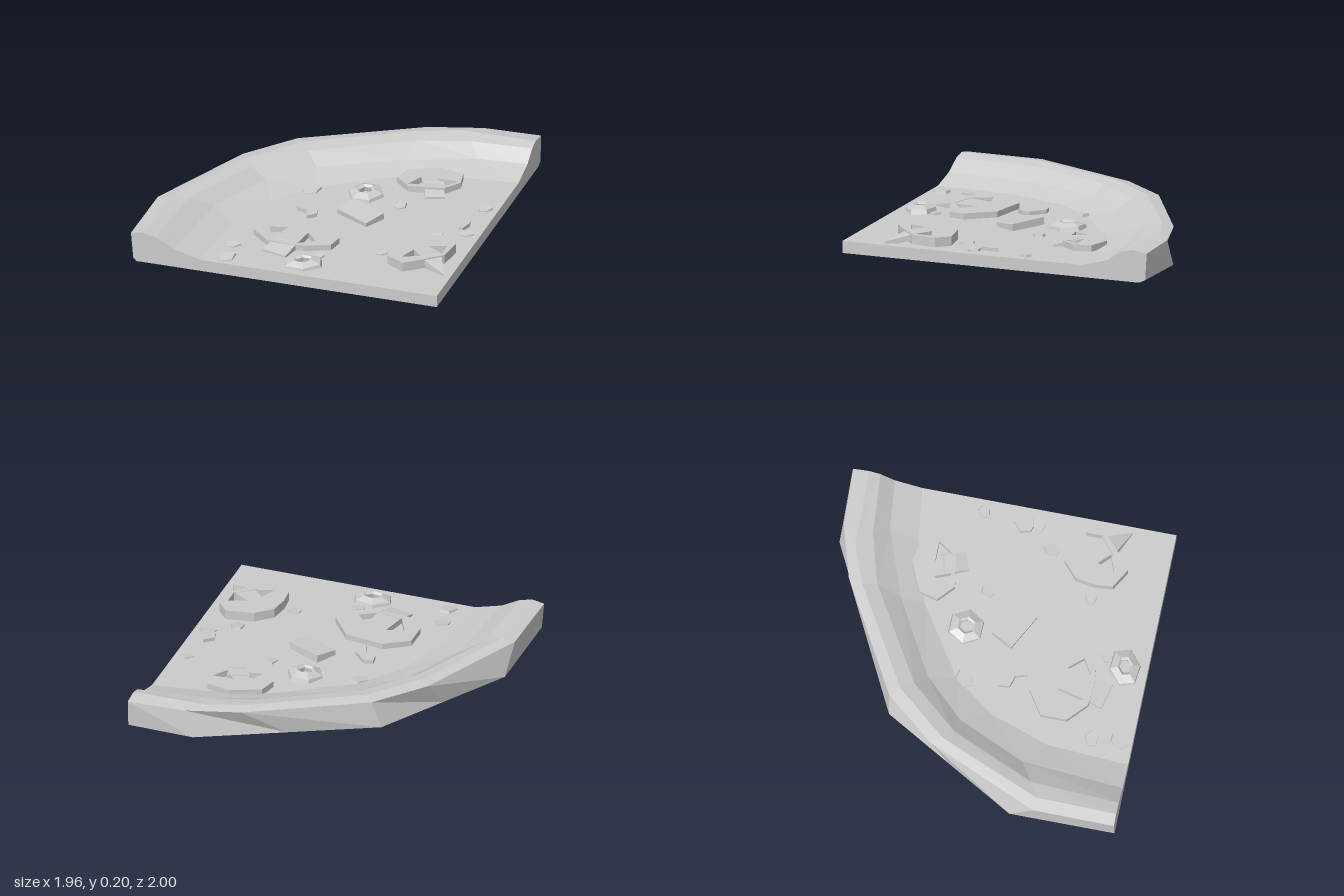
import * as THREE from 'three';

const FLOOR = 0.075; // height of the flat inner surface
const material = new THREE.MeshStandardMaterial({ color: 0xcccccc, flatShading: true, side: THREE.DoubleSide });

function add(parent, name, geometry, x = 0, y = 0, z = 0) {
  const mesh = new THREE.Mesh(geometry, material);
  mesh.name = name;
  mesh.position.set(x, y, z);
  parent.add(mesh);
  return mesh;
}

// Flat slab from an outline in x, z, with its top at the given height
function slab(outline, top, thickness, holes = []) {
  const toPoints = (list) => list.map(([x, z]) => new THREE.Vector2(x, z));
  const shape = new THREE.Shape(toPoints(outline));
  shape.holes = holes.map((h) => new THREE.Path(toPoints(h)));
  const geometry = new THREE.ExtrudeGeometry(shape, { depth: thickness, bevelEnabled: false });
  return geometry.rotateX(Math.PI / 2).translate(0, top, 0);
}

// Quarter slice: cross-sections run from the tip out over the crust and back underneath
function sliceGeometry() {
  const rings = [
    [0.075, [[-0.53, 1], [-0.5, 0.5], [-0.37, 0.12], [-0.18, -0.13], [0.25, -0.41], [0.65, -0.53], [0.98, -0.57]]],
    [0.12, [[-0.7, 1], [-0.65, 0.37], [-0.46, -0.05], [-0.22, -0.3], [0.25, -0.56], [0.67, -0.71], [0.98, -0.74]]],
    [0.183, [[-0.82, 1], [-0.79, 0.45], [-0.56, -0.07], [-0.3, -0.37], [0.28, -0.71], [0.6, -0.8], [0.98, -0.83]]],
    [0.2, [[-0.9, 1], [-0.89, 0.5], [-0.62, -0.13], [-0.36, -0.44], [0.26, -0.8], [0.5, -0.89], [0.98, -0.9]]],
    [0.187, [[-0.975, 1], [-0.97, 0.5], [-0.66, -0.2], [-0.41, -0.5], [0.29, -0.89], [0.62, -0.985], [0.98, -1]]],
    [0.02, [[-0.96, 1], [-0.96, 0.35], [-0.715, -0.07], [-0.47, -0.49], [0.045, -0.745], [0.56, -1], [0.98, -0.99]]],
    [0, [[-0.94, 1], [-0.93, 0.36], [-0.69, -0.05], [-0.45, -0.46], [0.06, -0.71], [0.57, -0.96], [0.98, -0.95]]],
  ];
  const sections = rings[0][1].map((_, i) => [
    [0.98, FLOOR, 1],
    ...rings.map(([y, ring]) => [ring[i][0], y, ring[i][1]]),
    [0.98, 0, 1],
  ]);
  const positions = [];
  const tri = (a, b, c) => positions.push(...a, ...b, ...c);
  const last = sections[0].length - 1;
  for (let i = 0; i < sections.length - 1; i++) {
    const [s, t] = [sections[i], sections[i + 1]];
    for (let j = 0; j < last; j++) {
      if (j > 0) tri(s[j], t[j], s[j + 1]);
      if (j < last - 1) tri(t[j], t[j + 1], s[j + 1]);
    }
  }
  // Cut faces, fanned from the outer bottom corner
  const start = sections[0], end = sections[sections.length - 1], pivot = last - 1;
  for (let k = 1; k < last; k++) {
    const a = (pivot + k) % (last + 1), b = (a + 1) % (last + 1);
    tri(start[pivot], start[a], start[b]);
    tri(end[pivot], end[b], end[a]);
  }
  const geometry = new THREE.BufferGeometry();
  geometry.setAttribute('position', new THREE.Float32BufferAttribute(positions, 3));
  geometry.computeVertexNormals();
  return geometry;
}

// Mushroom slice: cap pierced by two gaps, with a stem sloping down to the surface
function mushroom(parent, { cap, gaps, top, stem }) {
  const group = new THREE.Group();
  group.name = 'mushroomSlice';
  add(group, 'mushroomCap', slab(cap, top, top - FLOOR + 0.01, gaps));
  const geometry = slab(stem, 0, 0.035);
  const p = geometry.attributes.position;
  // The first two stem corners lie at the cap, the others droop
  for (let i = 0; i < p.count; i++) {
    const inner = stem.slice(0, 2).some(([x, z]) => Math.hypot(p.getX(i) - x, p.getZ(i) - z) < 0.001);
    p.setY(i, p.getY(i) + (inner ? top + 0.002 : FLOOR + 0.012));
  }
  geometry.computeVertexNormals();
  add(group, 'mushroomStem', geometry);
  parent.add(group);
}

// Faceted olive ring with a sloped outside and a square-ish hole
function oliveRing(parent, x, z, sx, sz, turn) {
  const profile = [[0.05, -0.01], [0.125, -0.01], [0.115, 0.02], [0.06, 0.042], [0.042, 0.03], [0.05, -0.01]];
  const geometry = new THREE.LatheGeometry(profile.map(([r, y]) => new THREE.Vector2(r, y)), 6);
  const ring = add(parent, 'oliveRing', geometry, x, FLOOR, z);
  ring.scale.set(sx, 1, sz);
  ring.rotation.set(0.04, turn, 0.05);
}

export function createModel() {
  const model = new THREE.Group();
  model.name = 'pizzaSlice';
  add(model, 'crustAndBase', sliceGeometry());

  const mushrooms = [
    {
      top: 0.112,
      cap: [[-0.33, 0.42], [-0.18, 0.32], [0.07, 0.36], [0.2, 0.53], [0.18, 0.63], [0.03, 0.69], [-0.06, 0.7], [-0.21, 0.69], [-0.33, 0.58]],
      gaps: [[[-0.25, 0.52], [-0.14, 0.49], [-0.18, 0.66]], [[-0.02, 0.67], [0, 0.52], [0.08, 0.61]]],
      stem: [[-0.17, 0.64], [-0.02, 0.68], [-0.05, 0.81], [-0.21, 0.77]],
    },
    {
      top: 0.115,
      cap: [[0.28, -0.34], [0.31, -0.46], [0.5, -0.54], [0.65, -0.5], [0.67, -0.39], [0.6, -0.29], [0.51, -0.27], [0.38, -0.25]],
      gaps: [[[0.37, -0.28], [0.42, -0.39], [0.46, -0.29]], [[0.52, -0.4], [0.65, -0.4], [0.59, -0.31]]],
      stem: [[0.45, -0.33], [0.57, -0.37], [0.62, -0.23], [0.51, -0.19]],
    },
    {
      top: 0.135,
      cap: [[0.55, 0.58], [0.57, 0.46], [0.67, 0.37], [0.84, 0.34], [0.91, 0.42], [0.89, 0.58], [0.78, 0.68], [0.68, 0.76], [0.56, 0.69]],
      gaps: [[[0.65, 0.68], [0.69, 0.57], [0.76, 0.64]], [[0.76, 0.5], [0.87, 0.46], [0.87, 0.57]]],
      stem: [[0.75, 0.65], [0.86, 0.56], [0.94, 0.74], [0.83, 0.69]],
    },
  ];
  mushrooms.forEach((m) => mushroom(model, m));

  oliveRing(model, 0.15, -0.135, 0.95, 0.95, 0.5);
  oliveRing(model, 0.08, 0.86, 1.05, 0.8, 0.3);

  // Tilted rectangular chunk
  const chunk = add(model, 'fruitChunk', new THREE.BoxGeometry(0.25, 0.045, 0.15), 0.21, 0.09, 0.15);
  chunk.rotation.set(0.12, -0.48, 0.03);

  // Curled pepper strip and a small bent piece
  add(model, 'pepperCurl', slab([[-0.19, 0.13], [-0.13, 0.12], [-0.05, 0.2], [-0.04, 0.24], [-0.09, 0.29], [-0.11, 0.22], [-0.18, 0.2]], 0.1, 0.04));
  add(model, 'pepperBit', slab([[0.81, 0.07], [0.87, 0.02], [0.88, 0.07], [0.86, 0.14], [0.83, 0.13]], 0.098, 0.04));

  // Thin scattered flakes: x, z, radius, turn
  const flakes = [
    [-0.41, 0.75, 0.06, 0.4], [-0.39, 0.92, 0.07, 1.1], [-0.18, -0.08, 0.07, 0.9], [0.89, 0.17, 0.06, 0.2],
    [0.9, -0.17, 0.05, 0.7], [0.74, 0.28, 0.06, 1.5], [0.48, 0.57, 0.05, 0.3], [0.4, -0.05, 0.05, 1.2],
    [0.13, 0.74, 0.05, 0.6],
  ];
  for (const [x, z, r, turn] of flakes) {
    const flake = add(model, 'herbFlake', new THREE.CylinderGeometry(r * 0.9, r, 0.02, 5), x, FLOOR, z);
    flake.rotation.set(0.08, turn, 0.06);
    flake.scale.z = 0.75;
  }
  return model;
}
